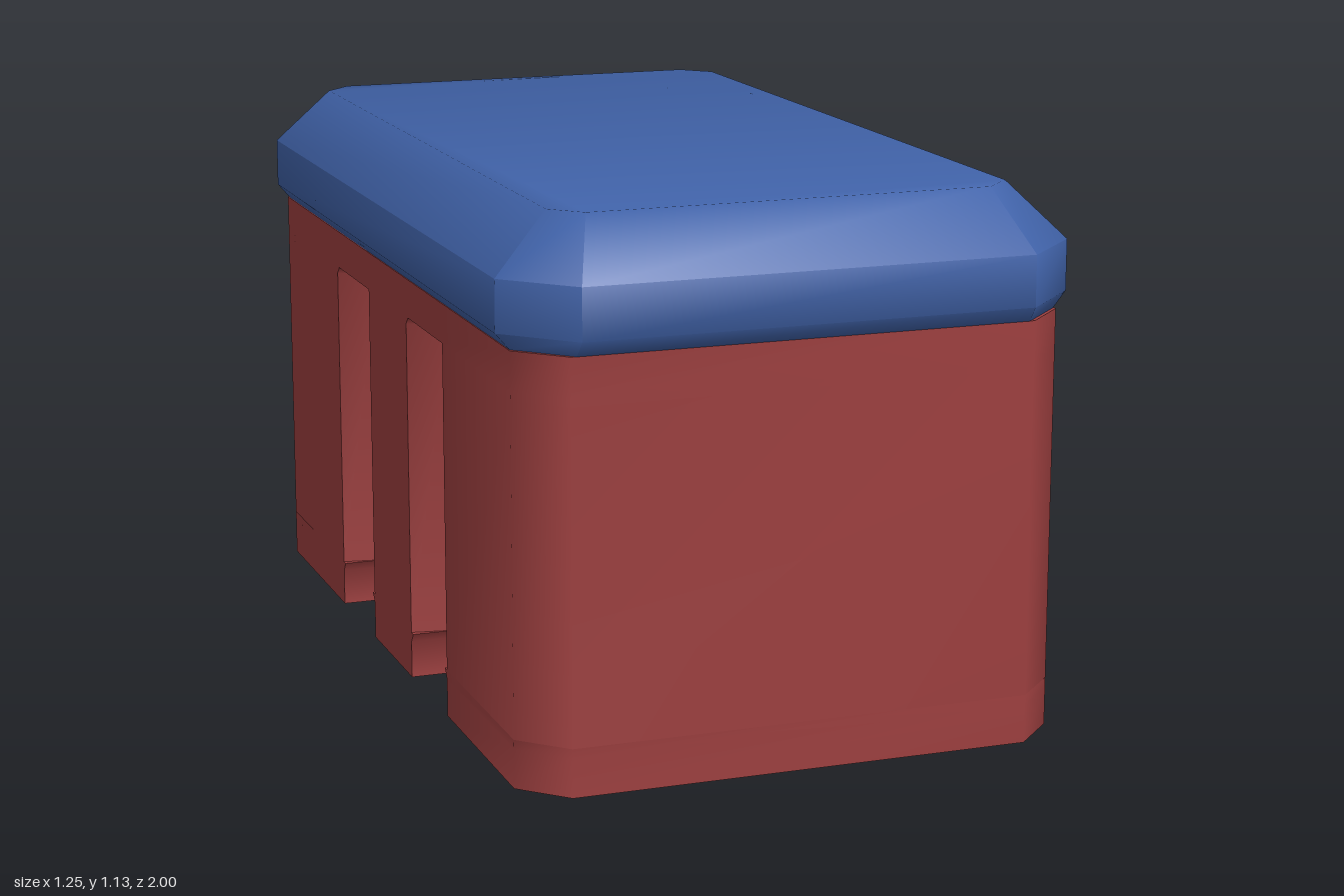
import * as THREE from 'three';
import { toCreasedNormals } from 'three/addons/utils/BufferGeometryUtils.js';

const CX = -0.03; // the box sits off centre to make room for the clips
const HX = 0.57, HZ = 0.97, CUT = 0.09;

const turn = (pts) => pts.map(([x, v]) => [-x, -v]);

// Outlines are [x, -z] points, counter-clockwise from above.
// Rectangle with cut corners and, if asked, two tapered slots on each long side.
function plan(hx, hz, cut, slotDepth) {
  const half = [[hx, cut - hz]];
  if (slotDepth !== undefined) {
    for (const s of [-1, 1]) {
      const [a, b] = s < 0 ? [-0.42, -0.15] : [0.15, 0.42];
      half.push([hx, a], [hx - slotDepth, a + 0.015], [hx - slotDepth, b - 0.015], [hx, b]);
    }
  }
  half.push([hx, hz - cut], [hx - cut, hz], [cut - hx, hz]);
  return [...half, ...turn(half)];
}

// Skin a stack of outlines { y, pts } and close both ends
function loft(levels) {
  const n = levels[0].pts.length;
  const pos = [], index = [];
  for (const { y, pts } of levels) for (const [x, v] of pts) pos.push(x, y, -v);
  for (let k = 0; k < levels.length - 1; k++) {
    for (let i = 0; i < n; i++) {
      const a = k * n + i, b = k * n + (i + 1) % n;
      index.push(a, b, b + n, a, b + n, a + n);
    }
  }
  const cap = (k, flip) => {
    const contour = levels[k].pts.map(([x, v]) => new THREE.Vector2(x, v));
    for (const [a, b, c] of THREE.ShapeUtils.triangulateShape(contour, [])) {
      const o = k * n;
      if (flip) index.push(o + a, o + c, o + b);
      else index.push(o + a, o + b, o + c);
    }
  };
  cap(0, true);
  cap(levels.length - 1, false);
  const geo = new THREE.BufferGeometry();
  geo.setAttribute('position', new THREE.Float32BufferAttribute(pos, 3));
  geo.setIndex(index);
  return toCreasedNormals(geo, 0.95);
}

export function createModel() {
  const group = new THREE.Group();
  const red = new THREE.MeshStandardMaterial({ color: 0x9e4040 });
  const blue = new THREE.MeshStandardMaterial({ color: 0x4062a8 });
  const green = new THREE.MeshStandardMaterial({ color: 0x0fd00f });

  const add = (name, geo, mat, x = CX, z = 0) => {
    const mesh = new THREE.Mesh(geo, mat);
    mesh.name = name;
    mesh.position.set(x, 0, z);
    group.add(mesh);
  };

  // Body above the base channels, with slots closing at their top
  add('body', loft([
    { y: 0.1, pts: plan(HX, HZ, CUT, 0.09) },
    { y: 0.775, pts: plan(HX, HZ, CUT, 0.09) },
    { y: 0.79, pts: plan(HX, HZ, CUT, 0) },
    { y: 0.872, pts: plan(HX, HZ, CUT, 0) },
  ]), red);

  // Feet either side of the two channels; their upper edges flare into the body
  const steps = [[0, 0], [0.08, 0], [0.1, 0.015]];
  const endFoot = (e) => [
    [HX, e], [HX, HZ - CUT], [HX - CUT, HZ], [CUT - HX, HZ], [-HX, HZ - CUT], [-HX, e],
  ];
  add('backFoot', loft(steps.map(([y, f]) => ({ y, pts: endFoot(0.42 - f) }))), red);
  add('frontFoot', loft(steps.map(([y, f]) => ({ y, pts: turn(endFoot(0.42 - f)) }))), red);
  add('middleFoot', loft(steps.map(([y, f]) => {
    const e = 0.15 + f;
    return { y, pts: [[HX, -e], [HX, e], [-HX, e], [-HX, -e]] };
  })), red);

  // Lid: y, inset, corner cut
  const lidSteps = [[0.872, 0.028, 0.1], [0.905, 0, 0.13], [1.01, 0, 0.13], [1.128, 0.117, 0.06]];
  add('lid', loft(lidSteps.map(([y, inset, cut]) => (
    { y, pts: plan(0.596 - inset, 1 - inset, cut) }
  ))), blue);

  // Clips hugging the lid edge
  const clip = new THREE.Shape([
    [0.51, 1.065], [0.54, 1.01], [0.54, 0.74], [0.55, 0.74],
    [0.625, 0.82], [0.625, 0.985], [0.55, 1.065],
  ].map(([x, y]) => new THREE.Vector2(x, y)));
  const clipGeo = new THREE.ExtrudeGeometry(clip, { depth: 0.23, bevelEnabled: false });
  add('frontClip', clipGeo, green, 0, 0.17);
  add('backClip', clipGeo, green, 0, -0.4);

  return group;
}
